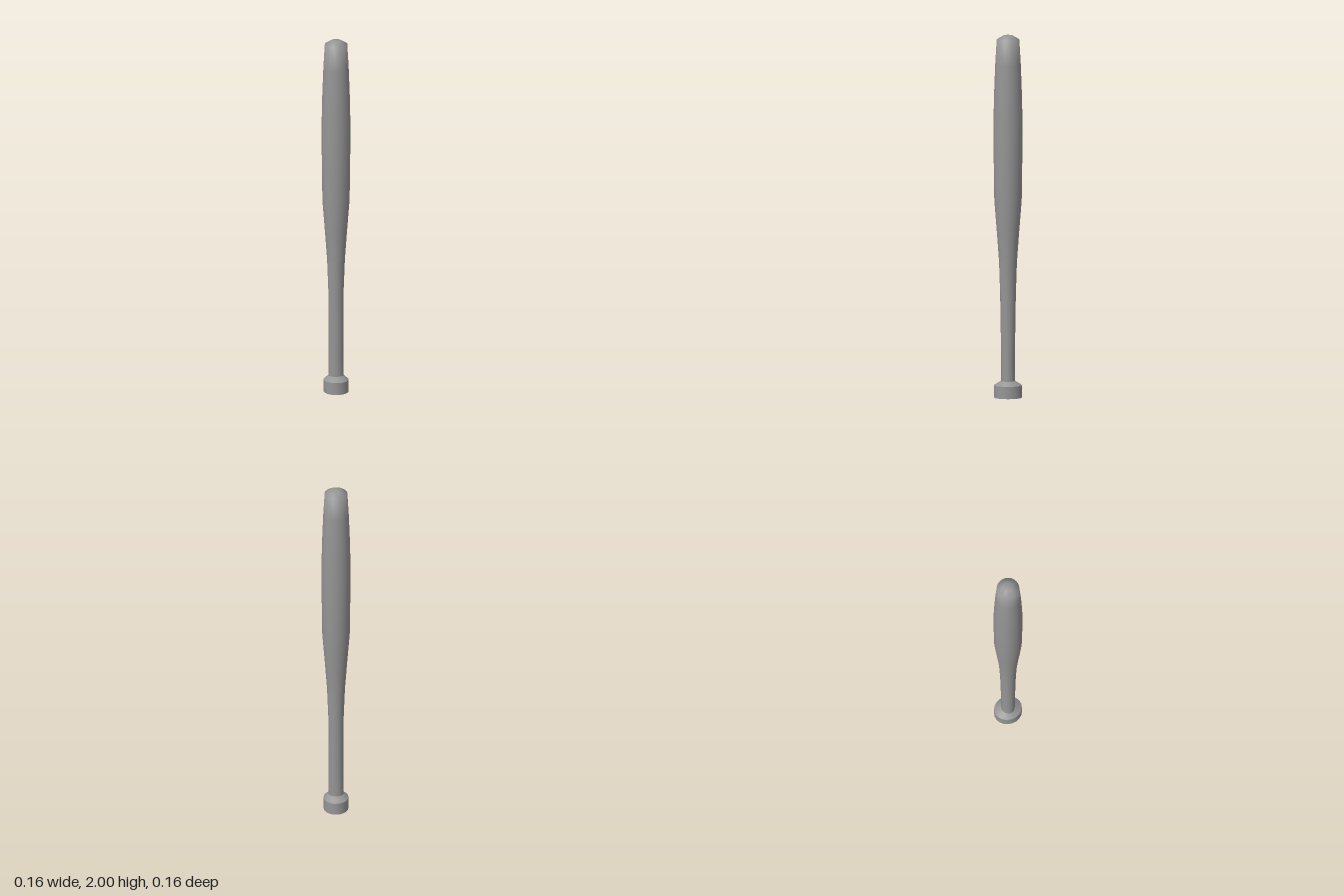
import * as THREE from 'three';
import { toCreasedNormals } from 'three/addons/utils/BufferGeometryUtils.js';

const SIDES = 20;

// Turned part: each row is [y, half-width in x, half-depth in z]
function turned(name, creaseDegrees, rows) {
  const points = rows.map(([y, rx]) => new THREE.Vector2(rx, y));
  const geometry = new THREE.LatheGeometry(points, SIDES);
  const pos = geometry.attributes.position;
  for (let i = 0; i < pos.count; i++) {
    const [, rx, rz = rx] = rows[i % rows.length];
    if (rx > 0) pos.setZ(i, pos.getZ(i) * rz / rx);
  }
  const material = new THREE.MeshStandardMaterial({ color: 0x959595 });
  const crease = THREE.MathUtils.degToRad(creaseDegrees);
  const mesh = new THREE.Mesh(toCreasedNormals(geometry, crease), material);
  mesh.name = name;
  return mesh;
}

export function createModel() {
  const bat = new THREE.Group();
  bat.name = 'bat';

  // Slightly oval end knob with a bevelled shoulder
  bat.add(turned('knob', 30, [
    [0, 0], [0, 0.068, 0.077], [0.068, 0.068, 0.077], [0.092, 0.042, 0.039], [0.092, 0],
  ]));

  // Slim grip, a little thinner front to back near the knob
  bat.add(turned('handle', 30, [
    [0.09, 0.041, 0.037], [0.2, 0.04, 0.037], [0.38, 0.041, 0.04],
    [0.57, 0.042, 0.043], [0.75, 0.049, 0.049],
  ]));

  // Taper, swelling barrel and a domed tip that blends smoothly into the sides
  bat.add(turned('barrel', 75, [
    [0.75, 0.049], [0.9, 0.06], [1.09, 0.075], [1.3, 0.078], [1.5, 0.08],
    [1.68, 0.076], [1.84, 0.07], [1.978, 0.062], [2, 0.025], [2, 0],
  ]));

  return bat;
}
